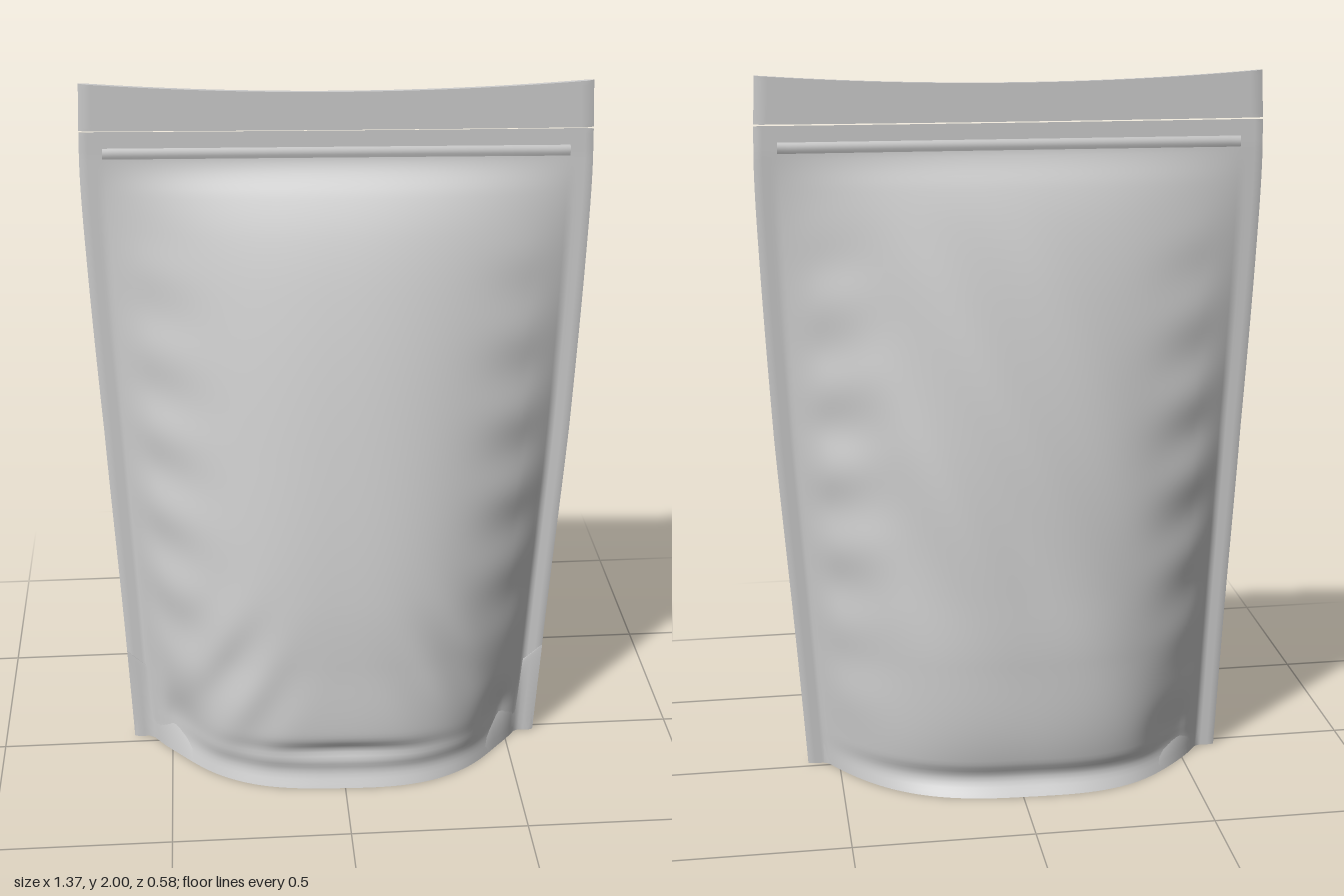
import * as THREE from 'three';

const material = new THREE.MeshStandardMaterial({ color: 0xcccccc, side: THREE.DoubleSide });
const { smoothstep, lerp } = THREE.MathUtils;

// Smooth curve through [height, value] pairs
function curve(points) {
  const c = new THREE.CubicInterpolant(points.map(p => p[0]), points.map(p => p[1]), 1, new Float32Array(1));
  return y => c.evaluate(y)[0];
}

const halfWidth = curve([[0, 0.602], [0.4, 0.622], [1, 0.656], [1.5, 0.678], [1.75, 0.684], [1.87, 0.681], [2, 0.675]]);
const frontDepth = curve([[0, 0.285], [0.05, 0.268], [0.1, 0.284], [0.4, 0.288], [0.6, 0.278], [1, 0.222],
  [1.4, 0.142], [1.6, 0.086], [1.7, 0.045], [1.77, 0.008], [1.8, 0], [2, 0]]);
const backDepth = curve([[0, 0.275], [0.05, 0.246], [0.1, 0.264], [0.4, 0.266], [0.6, 0.246], [1, 0.195],
  [1.4, 0.118], [1.6, 0.068], [1.7, 0.036], [1.77, 0.008], [1.8, 0], [2, 0]]);

// Middle surface of the pouch: slightly twisted and leaning back
const midZ = (x, y) => -0.05 + 0.044 * x + 0.045 * Math.max(0, 1 - y / 1.8);
const bump = (x, y, cx, cy, rx, ry) => Math.exp(-(((x - cx) / rx) ** 2) - ((y - cy) / ry) ** 2);

// Gentle film creases: side ripples, diagonal folds and bottom dents
function creases(x, y, side) {
  const a = Math.abs(x);
  const ripple = 0.006 * Math.sin(y * 27 + x * 5 + side) * bump(a, y, 0.5, 0.85, 0.11, 0.6);
  if (side > 0) {
    const fan = 0.007 * Math.sin((a + y * 0.6) * 32) * bump(a, y, 0.33, 0.34, 0.14, 0.2);
    return ripple + fan - 0.022 * bump(x, y, 0, 0.12, 0.24, 0.03) - 0.035 * bump(a, y, 0.47, 0.12, 0.07, 0.1);
  }
  const diagonal = 0.007 * Math.sin((x - y * 0.5) * 21) * bump(x, y, 0.1, 0.9, 0.4, 0.55);
  return ripple + diagonal - 0.025 * bump(x, y, -0.45, 0.12, 0.08, 0.1);
}

// Point on a wall; s runs across (-1..1), side is +1 front or -1 back
function wall(s, y, side, thickness = 0.004) {
  const w = halfWidth(y);
  const x = s * w - 0.012 * Math.max(0, 1 - y);
  const u = Math.min(1, Math.abs(s) * w / (w - 0.055));
  const power = lerp(3.0, 2.3, smoothstep(y, 0, 1.6));
  const fullness = Math.max(0, 1 - u ** power);
  const depth = (side > 0 ? frontDepth : backDepth)(y);
  const film = thickness * Math.min(1, (1 - Math.abs(s)) * 80);
  const belly = Math.max(0, depth * fullness + creases(x, y, side) * Math.min(1, fullness * 3) * smoothstep(1.75 - y, 0, 0.3));
  const sag = 0.026 * (1 - s * s) * smoothstep(y, 1.85, 2);
  return [x, y - sag, midZ(x, y) + side * (film + belly)];
}

// Grid surface from a rule f(s, t) with s in -1..1 and t in 0..1
function surface(name, f, nu, nv, flip = false) {
  const positions = [], index = [];
  for (let j = 0; j <= nv; j++)
    for (let i = 0; i <= nu; i++) positions.push(...f(i / nu * 2 - 1, j / nv));
  for (let j = 0; j < nv; j++) {
    for (let i = 0; i < nu; i++) {
      const a = j * (nu + 1) + i, b = a + 1, c = a + nu + 1, d = c + 1;
      if (flip) index.push(a, d, b, a, c, d);
      else index.push(a, b, d, a, d, c);
    }
  }
  const geometry = new THREE.BufferGeometry();
  geometry.setAttribute('position', new THREE.Float32BufferAttribute(positions, 3));
  geometry.setIndex(index);
  geometry.computeVertexNormals();
  const mesh = new THREE.Mesh(geometry, material);
  mesh.name = name;
  return mesh;
}

export function createModel() {
  const group = new THREE.Group();
  group.name = 'standUpPouch';

  for (const side of [1, -1]) {
    const label = side > 0 ? 'front' : 'back';
    // Main wall with its flat side seals, up to the tear line
    group.add(surface(label + 'Panel', (s, t) => wall(s, 1.868 * t, side), 120, 150, side < 0));
    // Heat-sealed header above the tear line
    group.add(surface(label + 'Header', (s, t) => wall(s, 1.873 + 0.127 * t, side, 0.006), 80, 10, side < 0));
    // Raised zip rib under the header
    group.add(surface(label + 'ZipRib', (s, t) => {
      const p = wall(s * 0.91, 1.795 + 0.03 * t, side);
      p[2] += side * 0.004 * Math.sin(Math.PI * t);
      return p;
    }, 40, 6, side < 0));
  }

  // Narrow strips closing the tear line and the top edge
  for (const [name, y, film] of [['tearLineEdge', 1.873, 0.006], ['topEdge', 2, 0.006]])
    group.add(surface(name, (s, t) => wall(s, y, t < 0.5 ? 1 : -1, film), 80, 1, y < 1.9));

  // Folded bottom gusset arching up between the two lower rims
  group.add(surface('bottomGusset', (s, t) => {
    const v = t * 2 - 1;
    const height = 0.13 + 0.17 * Math.abs(s) ** 4;
    const y = height * (1 - v * v);
    const front = wall(s, 0, 1), back = wall(s, 0, -1);
    const x = lerp(front[0], wall(s, y, 1)[0], 0.95);
    return [x, y, lerp(back[2], front[2], t)];
  }, 80, 28));

  return group;
}
